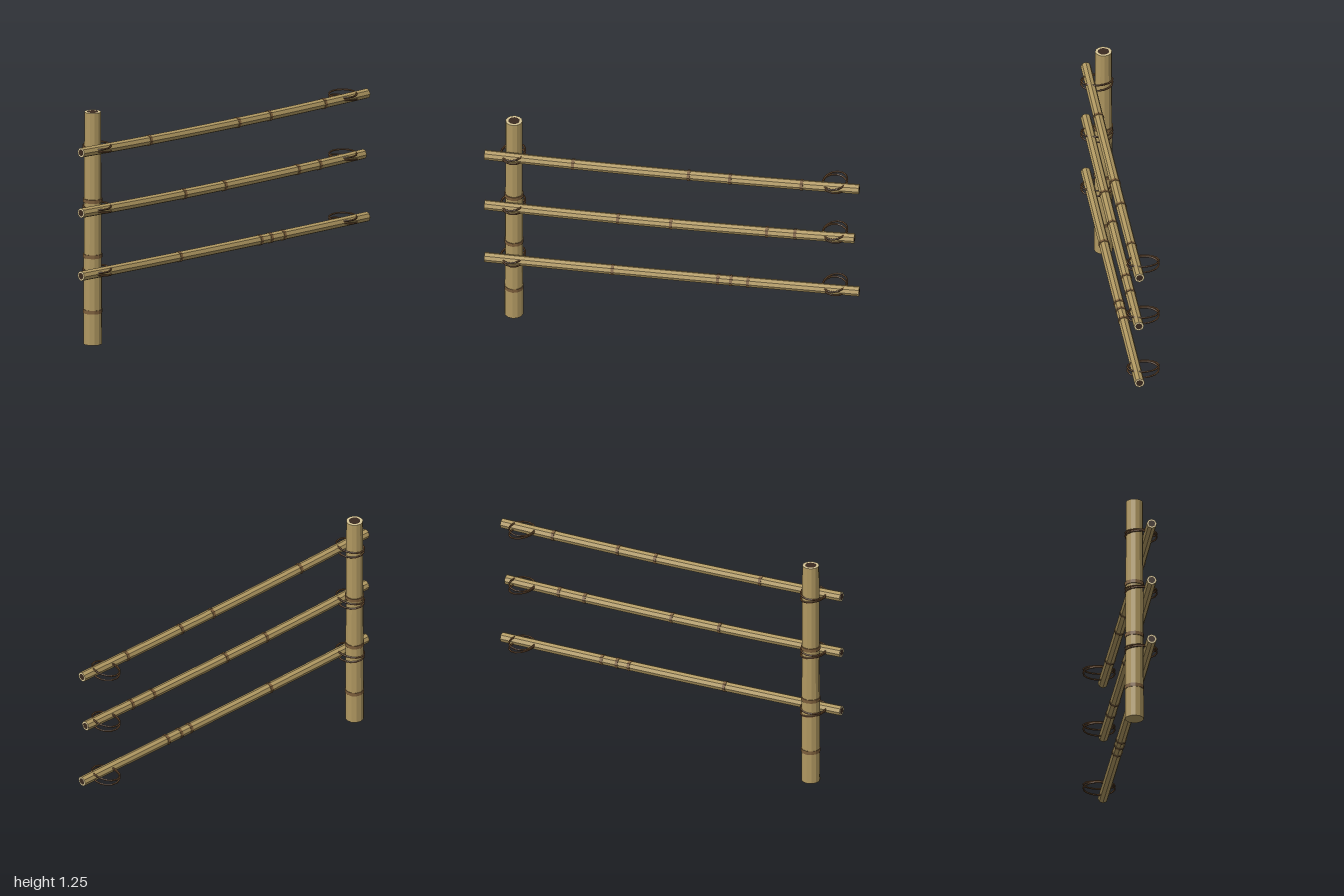
import * as THREE from 'three';

const mat = (name, color, extra = {}) => {
  const m = new THREE.MeshStandardMaterial({ color, flatShading: true, ...extra });
  m.name = name;
  return m;
};

export function createModel() {
  const bamboo = mat('bamboo', 0xb09861);
  const node = mat('bambooNode', 0x7d5f3c);
  const rope = mat('rope', 0x6b4c30);
  const cut = mat('cutRim', 0xd6c596);
  const hollow = mat('hollow', 0x3a2a20);

  const model = new THREE.Group();
  model.name = 'bambooFence';

  const add = (parent, name, geometry, material, x = 0, y = 0, z = 0) => {
    const mesh = new THREE.Mesh(geometry, material);
    mesh.name = name;
    mesh.position.set(x, y, z);
    parent.add(mesh);
    return mesh;
  };

  // Cut end of a pole: pale rim around a dark hollow, facing along dir
  const addCutEnd = (parent, radius, sides, position, dir) => {
    const end = new THREE.Group();
    end.name = 'cutEnd';
    add(end, 'rim', new THREE.RingGeometry(radius * 0.68, radius, sides), cut);
    add(end, 'hollow', new THREE.CircleGeometry(radius * 0.68, sides), hollow);
    end.position.copy(position);
    end.quaternion.setFromUnitVectors(new THREE.Vector3(0, 0, 1), dir);
    parent.add(end);
  };

  // Upright post
  const POST_X = -0.855, POST_Z = -0.035, POST_H = 1.255;
  const post = new THREE.Group();
  post.name = 'post';
  post.position.set(POST_X, 0, POST_Z);
  model.add(post);
  const shaft = new THREE.CylinderGeometry(0.0445, 0.05, POST_H, 12, 1, true);
  add(post, 'postShaft', shaft, bamboo, 0, POST_H / 2, 0);
  add(post, 'postBase', new THREE.CircleGeometry(0.05, 12), bamboo).rotation.x = Math.PI / 2;
  addCutEnd(post, 0.0445, 12, new THREE.Vector3(0, POST_H, 0), new THREE.Vector3(0, 1, 0));
  for (const y of [0.178, 0.478, 0.777]) {
    add(post, 'postNode', new THREE.CylinderGeometry(0.0515, 0.0515, 0.02, 12), node, 0, y, 0);
  }

  // Rope lashing: two loops tilted against each other
  const addLashing = (x, y) => {
    const lashing = new THREE.Group();
    lashing.name = 'lashing';
    lashing.position.set(x, y, 0);
    model.add(lashing);
    for (const s of [-1, 1]) {
      const points = [];
      for (let i = 0; i < 12; i++) {
        const a = (i / 12) * Math.PI * 2;
        const lift = s * (0.01 + 0.007 * Math.cos(a));
        points.push(new THREE.Vector3(0.064 * Math.cos(a), lift, 0.084 * Math.sin(a)));
      }
      const loop = new THREE.CatmullRomCurve3(points, true);
      add(lashing, 'ropeLoop', new THREE.TubeGeometry(loop, 16, 0.005, 5, true), rope);
    }
  };

  // Sagging rails: left, middle and right heights, right end, node positions
  const RAIL_Z = 0.038, RAIL_R = 0.027;
  const rails = [
    { y: [0.402, 0.394, 0.397], end: 0.99, nodes: [-0.32, 0.24, 0.31, 0.4] },
    { y: [0.743, 0.729, 0.74], end: 0.965, nodes: [-0.29, -0.01, 0.5, 0.65] },
    { y: [1.07, 1.055, 1.064], end: 0.99, nodes: [-0.53, 0.085, 0.305, 0.685] },
  ];
  for (const { y, end, nodes } of rails) {
    const rail = new THREE.Group();
    rail.name = 'rail';
    model.add(rail);
    const mid = 2 * y[1] - (y[0] + y[2]) / 2;
    const curve = new THREE.QuadraticBezierCurve3(
      new THREE.Vector3(-1, y[0], RAIL_Z),
      new THREE.Vector3((end - 1) / 2, mid, RAIL_Z),
      new THREE.Vector3(end, y[2], RAIL_Z),
    );
    add(rail, 'railShaft', new THREE.TubeGeometry(curve, 12, RAIL_R, 8, false), bamboo);
    addCutEnd(rail, RAIL_R, 8, curve.getPoint(0), curve.getTangent(0).negate());
    addCutEnd(rail, RAIL_R, 8, curve.getPoint(1), curve.getTangent(1));
    for (const x of nodes) {
      const t = (x + 1) / (end + 1);
      const p = curve.getPoint(t);
      const ring = new THREE.CylinderGeometry(0.03, 0.03, 0.016, 8);
      const mesh = add(rail, 'railNode', ring, node, p.x, p.y, p.z);
      mesh.quaternion.setFromUnitVectors(new THREE.Vector3(0, 1, 0), curve.getTangent(t));
    }
    addLashing(POST_X, y[0] - 0.002);
    addLashing(-POST_X, y[2] + 0.003);
  }

  return model;
}
